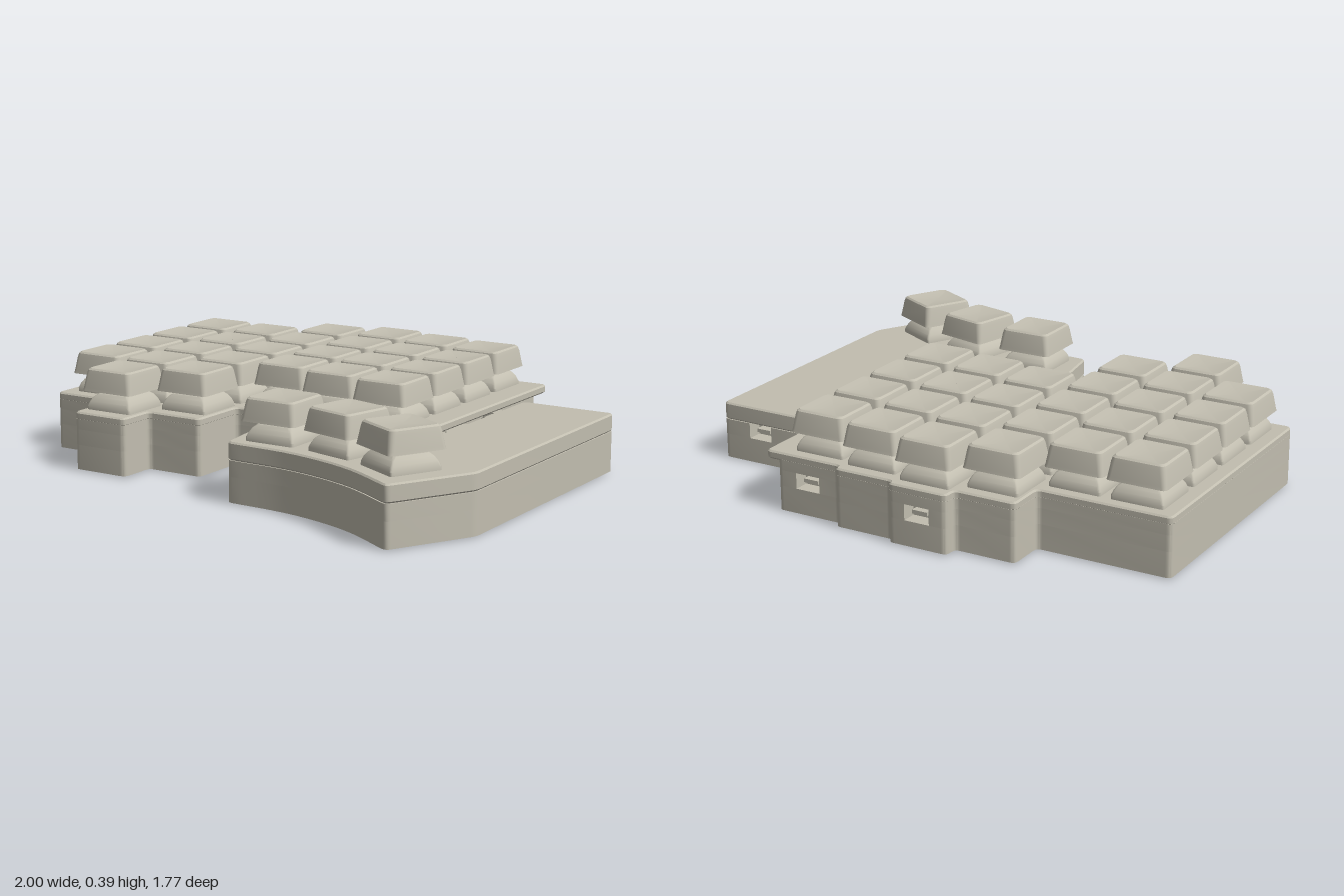
import * as THREE from 'three';
import { toCreasedNormals } from 'three/addons/utils/BufferGeometryUtils.js';

const plastic = new THREE.MeshStandardMaterial({ color: 0xc2beb0 });
plastic.name = 'warm grey plastic';

function add(parent, name, geometry, x = 0, y = 0, z = 0) {
  const mesh = new THREE.Mesh(geometry, plastic);
  mesh.name = name;
  mesh.position.set(x, y, z);
  parent.add(mesh);
  return mesh;
}

// Closed outline from [x, z, sharp] points, rounding each corner that is not sharp
function outline(points, radius = 0.022) {
  const shape = new THREE.Shape();
  const n = points.length;
  const v = points.map(([x, z]) => new THREE.Vector2(x, -z));
  v.forEach((p, i) => {
    const toward = (q) => {
      const d = q.clone().sub(p);
      return p.clone().addScaledVector(d.normalize(), Math.min(radius, p.distanceTo(q) * 0.45));
    };
    const a = points[i][2] ? p : toward(v[(i + n - 1) % n]);
    const b = points[i][2] ? p : toward(v[(i + 1) % n]);
    if (i === 0) shape.moveTo(a.x, a.y);
    else shape.lineTo(a.x, a.y);
    if (!points[i][2]) shape.quadraticCurveTo(p.x, p.y, b.x, b.y);
  });
  shape.closePath();
  return shape;
}

// Horizontal slab between two heights, with an optional chamfer
function slab(points, y0, y1, bevel = 0) {
  const g = new THREE.ExtrudeGeometry(outline(points), {
    depth: y1 - y0 - 2 * bevel, curveSegments: 5, bevelEnabled: bevel > 0,
    bevelThickness: bevel, bevelSize: bevel, bevelOffset: -bevel, bevelSegments: 1,
  });
  g.rotateX(-Math.PI / 2).translate(0, y0 + bevel, 0);
  return toCreasedNormals(g, 0.6);
}

// Port recess in a back edge that runs towards +x
const notch = (x, z) => [[x - 0.05, z, 1], [x - 0.05, z + 0.06, 1], [x + 0.05, z + 0.06, 1], [x + 0.05, z, 1]];

function mainOutline(right, ports) {
  return [
    [-1, -0.68], [-0.485, -0.68], [-0.485, -0.83], [-0.245, -0.83], [-0.245, -0.885],
    ...(ports ? notch(-0.125, -0.885) : []),
    [-0.01, -0.885], [-0.01, -0.86], [0.23, -0.86], [0.23, -0.83],
    ...(ports ? notch(0.37, -0.83) : []),
    [right, -0.83], [right, 0.19], [-0.25, 0.19], [-0.25, 0.43], [-0.485, 0.43],
    [-0.485, 0.58], [-0.72, 0.58], [-0.72, 0.34], [-1, 0.34],
  ];
}

// Points along a smooth curve, kept sharp so that only its ends are rounded
function curve(points) {
  const c = new THREE.CatmullRomCurve3(points.map(([x, z]) => new THREE.Vector3(x, 0, z)));
  const list = c.getPoints(14).map((p) => [p.x, p.z, 1]);
  list[0].pop();
  list[list.length - 1].pop();
  return list;
}

function thumbOutline(ports) {
  return [
    ...curve([[-0.008, 0.328], [0.2, 0.328], [0.42, 0.35], [0.622, 0.395]]),
    [0.622, -0.49], ...(ports ? notch(0.83, -0.49) : []), [1, -0.49], [1, 0.58],
    ...curve([[0.828, 0.888], [0.59, 0.757], [0.33, 0.685], [0.045, 0.67]]),
  ];
}

// Loft through rounded squares given as [half width, y, corner radius, dish depth]
function loft(rings) {
  const pos = [], index = [], steps = 5, n = 4 * steps;
  rings.forEach(([h, y, r, dish = 0]) => {
    for (let i = 0; i < n; i++) {
      const q = Math.floor(i / steps);
      const a = (q + (i % steps) / (steps - 1)) * Math.PI / 2;
      const cx = (q === 0 || q === 3 ? 1 : -1) * (h - r), cz = (q < 2 ? 1 : -1) * (h - r);
      const x = cx + r * Math.cos(a);
      pos.push(x, y - dish * (1 - (x / 0.09) ** 2), cz + r * Math.sin(a));
    }
  });
  for (let k = 0; k < rings.length - 1; k++) {
    for (let i = 0; i < n; i++) {
      const a = k * n + i, b = k * n + (i + 1) % n;
      index.push(a, a + n, b, b, a + n, b + n);
    }
  }
  const g = new THREE.BufferGeometry();
  g.setAttribute('position', new THREE.Float32BufferAttribute(pos, 3));
  g.setIndex(index);
  return toCreasedNormals(g, 0.5);
}

// Hinge ear: a rounded upright plate with three holes, facing along z
function hingeEar(x0, x1, depth) {
  const shape = outline([[x0, -0.03], [x1, -0.03], [x1, -0.19], [x0, -0.19]], 0.035);
  const mid = (x0 + x1) / 2;
  [[mid, 0.15], [mid - 0.025, 0.075], [mid + 0.03, 0.075]].forEach(([x, y]) => {
    shape.holes.push(new THREE.Path().absarc(x, y, 0.015, 0, Math.PI * 2, true));
  });
  return new THREE.ExtrudeGeometry(shape, { depth, bevelEnabled: false, curveSegments: 8 });
}

export function createModel() {
  const model = new THREE.Group();
  model.name = 'splitKeyboard';

  // Main case: walls with port recesses, and a top plate overhanging the hinge
  const mainCase = new THREE.Group();
  mainCase.name = 'mainCase';
  add(mainCase, 'mainLowerWall', slab(mainOutline(0.5, false), 0.005, 0.1));
  add(mainCase, 'mainPortWall', slab(mainOutline(0.5, true), 0.1, 0.16));
  add(mainCase, 'mainUpperWall', slab(mainOutline(0.5, false), 0.16, 0.2));
  add(mainCase, 'mainTopPlate', slab(mainOutline(0.55, false), 0.195, 0.227, 0.006));

  // Thumb case
  const thumbCase = new THREE.Group();
  thumbCase.name = 'thumbCase';
  add(thumbCase, 'thumbLowerWall', slab(thumbOutline(false), 0.005, 0.1));
  add(thumbCase, 'thumbPortWall', slab(thumbOutline(true), 0.1, 0.16));
  add(thumbCase, 'thumbUpperWall', slab(thumbOutline(false), 0.16, 0.227, 0.006));
  model.add(mainCase, thumbCase);

  // Connector tongues inside the ports
  [[-0.125, -0.885], [0.37, -0.83], [0.83, -0.49]].forEach(([x, z]) => {
    add(model, 'portTongue', new THREE.BoxGeometry(0.06, 0.014, 0.04), x, 0.13, z + 0.04);
  });

  // Keys: dished cap over a tapered switch housing
  const capGeometry = loft([
    [0.001, 0.302, 0.0005], [0.114, 0.3, 0.016], [0.112, 0.312, 0.018], [0.104, 0.365, 0.02],
    [0.1, 0.379, 0.02], [0.093, 0.385, 0.02, 0.001], [0.07, 0.385, 0.015, 0.008],
    [0.035, 0.385, 0.008, 0.008], [0.0005, 0.385, 0.0002, 0.008],
  ]);
  const switchGeometry = loft([
    [0.101, 0.222, 0.01], [0.101, 0.24, 0.01], [0.094, 0.258, 0.01], [0.084, 0.274, 0.01],
    [0.07, 0.286, 0.01], [0.0005, 0.287, 0.0002],
  ]);
  const stemGeometry = new THREE.BoxGeometry(0.07, 0.03, 0.07);
  function addKey(x, z, angle = 0) {
    const key = new THREE.Group();
    key.name = 'key';
    add(key, 'keycap', capGeometry);
    add(key, 'switchHousing', switchGeometry);
    add(key, 'switchStem', stemGeometry, 0, 0.295, 0);
    key.position.set(x, 0, z);
    key.rotation.y = -angle * Math.PI / 180;
    model.add(key);
  }
  const columns = [
    [-0.845, -0.535, 4], [-0.606, -0.535, 5], [-0.368, -0.683, 5],
    [-0.128, -0.74, 4], [0.11, -0.71, 4], [0.349, -0.683, 4],
  ];
  columns.forEach(([x, z, count]) => {
    for (let i = 0; i < count; i++) addKey(x, z + i * 0.239);
  });
  addKey(0.193, 0.525);
  addKey(0.481, 0.557, 14);
  addKey(0.752, 0.66, 28);

  // Hinge between the two cases
  const hinge = new THREE.Group();
  hinge.name = 'hinge';
  [[-0.455, 0.065], [-0.17, 0.15], [-0.01, 0.13]].forEach(([z, d], i) => {
    add(hinge, 'hingeEar', hingeEar(0.49, i === 1 ? 0.63 : 0.6, d), 0, 0, z);
  });
  add(hinge, 'hingeEar', hingeEar(0.52, 0.635, 0.065), 0, 0, -0.385);
  const rod = new THREE.CylinderGeometry(0.02, 0.02, 0.56, 16).rotateX(Math.PI / 2);
  add(hinge, 'hingeRod', rod, 0.575, 0.15, -0.17);
  model.add(hinge);

  // Screw heads on the underside
  const screwGeometry = new THREE.CylinderGeometry(0.026, 0.018, 0.008, 16);
  [
    [-0.73, -0.415], [-0.73, 0.065], [-0.25, -0.1], [0.23, -0.59], [0.23, -0.11],
    [0.93, -0.42], [0.7, -0.42], [0.64, 0.66], [0.06, 0.4],
  ].forEach(([x, z]) => add(model, 'screwHead', screwGeometry, x, 0.004, z));

  return model;
}
